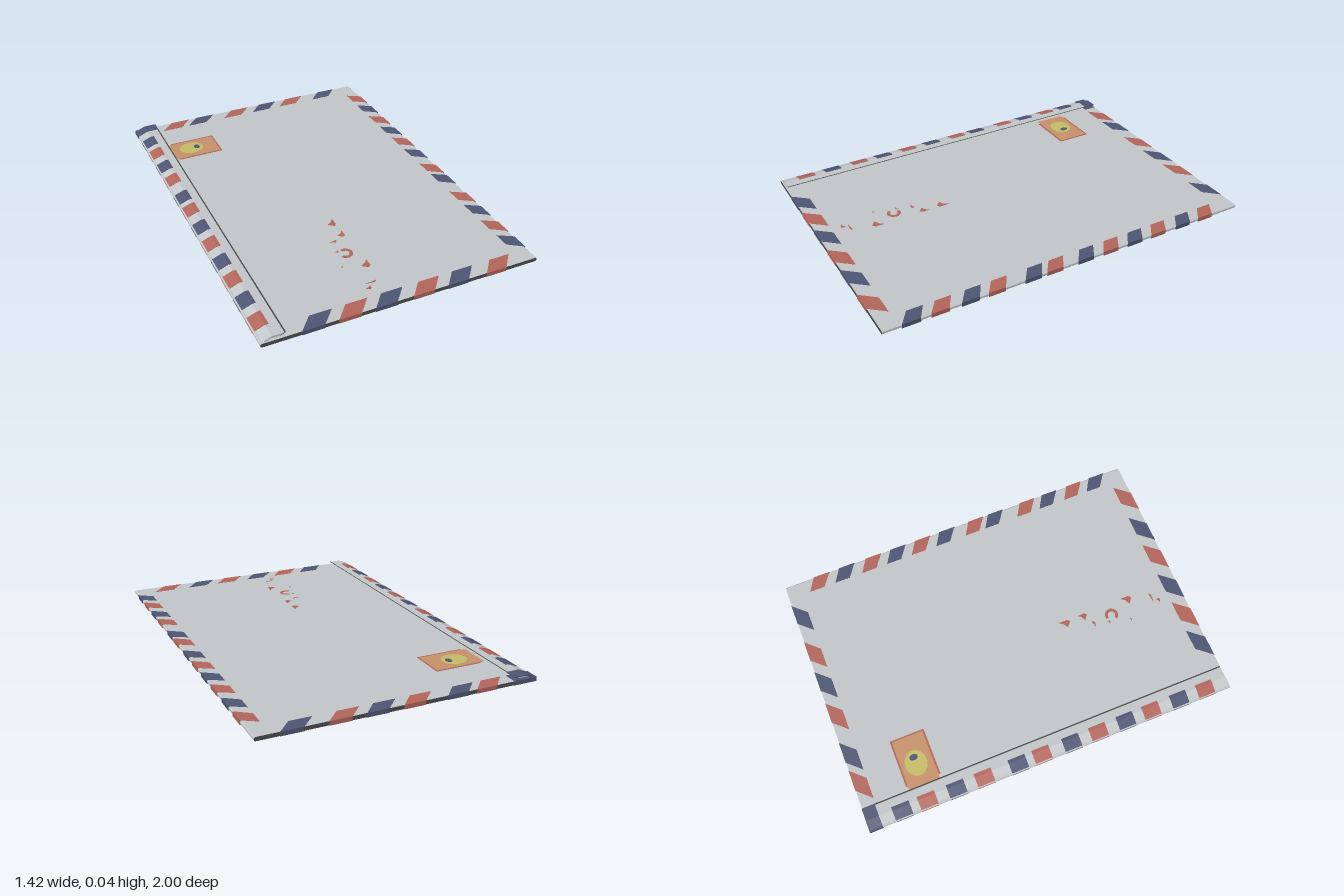
import * as THREE from 'three';

const mat = (name, color) => {
  const m = new THREE.MeshStandardMaterial({ color });
  m.name = name;
  return m;
};

export function createModel() {
  const paper = mat('paper', 0xc4c8ca);
  const edge = mat('darkEdge', 0x4c4d4c);
  const blue = mat('stripeBlue', 0x4f5674);
  const red = mat('stripeRed', 0xb4665c);
  const orange = mat('stampOrange', 0xc8926a);
  const yellow = mat('stampYellow', 0xc5be68);

  const model = new THREE.Group();
  model.name = 'envelope';
  const BOTTOM = 0.003, TOP = 0.023;

  const add = (name, geometry, material) => {
    const mesh = new THREE.Mesh(geometry, material);
    mesh.name = name;
    model.add(mesh);
    return mesh;
  };
  const polygon = (points) => new THREE.Shape(points.map(([a, b]) => new THREE.Vector2(a, b)));

  // Cross-section in x and y, swept along z
  const sweep = (name, points, z0, z1, material) => {
    const g = new THREE.ExtrudeGeometry(polygon(points), { depth: z1 - z0, bevelEnabled: false });
    add(name, g.translate(0, 0, z0), material);
  };
  // Outline in x and -z, pushed through the sheet so it shows on both faces
  const through = (name, shape, material, lift = 0.001) => {
    const depth = TOP - BOTTOM + 2 * lift;
    const g = new THREE.ExtrudeGeometry(shape, { depth, bevelEnabled: false, curveSegments: 16 });
    add(name, g.rotateX(-Math.PI / 2).translate(0, BOTTOM - lift, 0), material);
  };
  const plan = (points) => polygon(points.map(([x, z]) => [x, -z]));
  const rect = (x0, x1, z0, z1) => plan([[x0, z1], [x1, z1], [x1, z0], [x0, z0]]);
  const oval = (x, z, rx, rz) => new THREE.Shape().absellipse(x, -z, rx, rz, 0, Math.PI * 2);

  // Flat body with soft long sides and dark end faces
  const h = TOP - BOTTOM;
  sweep('body', [
    [-0.703, BOTTOM], [0.703, BOTTOM], [0.708, BOTTOM + h * 0.25], [0.708, BOTTOM + h * 0.75],
    [0.703, TOP], [-0.703, TOP], [-0.708, BOTTOM + h * 0.75], [-0.708, BOTTOM + h * 0.25],
  ], -0.998, 0.998, [edge, paper]);

  // Folded flap along the right side, with its dark lip
  sweep('flap', [
    [-0.708, 0.012], [-0.69, 0.012], [-0.66, 0.03], [-0.614, 0.03],
    [-0.59, 0.041], [-0.652, 0.041], [-0.7, 0.022],
  ], -0.99, 0.99, paper);
  sweep('flapLip', [[-0.614, 0.029], [-0.587, 0.041], [-0.592, 0.042], [-0.616, 0.031]],
    -0.99, 0.99, edge);

  // Stripes on the flap follow its fold
  const flapStripe = (z0, z1, x1, material) => sweep('flapStripe', [
    [-0.71, 0.01], [-0.7, 0.012], [-0.652, 0.038], [x1, 0.038],
    [x1, 0.0425], [-0.653, 0.0425], [-0.702, 0.0235],
  ], z0, z1, material);
  [-0.86, -0.725, -0.57, -0.42, -0.235, -0.105, 0.06, 0.21, 0.365, 0.51, 0.67, 0.82]
    .forEach((z, i) => flapStripe(z, z + 0.092, -0.635, i % 2 ? red : blue));
  flapStripe(-0.995, -0.93, -0.588, blue);
  through('cornerStripe', rect(-0.71, -0.585, -1, -0.93), blue);

  // Slanted stripes along the back and front ends
  const endStripe = (x, zFar, zNear, material) => through('endStripe', plan([
    [x, zNear], [x + 0.11, zNear], [x + 0.178, zFar], [x + 0.068, zFar],
  ]), material);
  [-0.555, -0.4, -0.175, 0.01, 0.19, 0.415]
    .forEach((x, i) => endStripe(x, -1, -0.927, i % 2 ? blue : red));
  [-0.517, -0.34, -0.16, 0.033, 0.215, 0.423]
    .forEach((x, i) => endStripe(x, 0.92, 1, i % 2 ? red : blue));

  // Slanted stripes along the left side
  [-0.88, -0.735, -0.58, -0.435, -0.29, -0.145, 0.03, 0.148, 0.342, 0.478, 0.63, 0.77]
    .forEach((z, i) => through('sideStripe', plan([
      [0.635, z + 0.082], [0.71, z + 0.135], [0.71, z + 0.045], [0.635, z],
    ]), i % 2 ? blue : red));

  // Stamp: border, field, oval and dot
  through('stampBorder', rect(-0.565, -0.315, -0.757, -0.572), red, 0.001);
  through('stampField', rect(-0.59, -0.323, -0.748, -0.582), orange, 0.0015);
  through('stampOval', oval(-0.468, -0.668, 0.067, 0.058), yellow, 0.0022);
  through('stampDot', oval(-0.436, -0.67, 0.016, 0.022), blue, 0.0029);

  // Worn ink flecks
  const fleck = (x, z, w, d) => through('inkFleck', plan([
    [x - w, z + d * 0.2], [x + w * 0.4, z + d], [x + w, z + d * 0.5], [x + w, z - d], [x + w * 0.3, z - d * 0.3],
  ]), red);
  [[-0.062, 0.335, 0.02, 0.032], [-0.06, 0.44, 0.018, 0.026], [-0.06, 0.7, 0.022, 0.03],
    [-0.12, 0.48, 0.018, 0.009], [-0.168, 0.675, 0.007, 0.005], [-0.125, 0.86, 0.014, 0.012],
    [-0.1, 0.83, 0.03, 0.006], [-0.14, 0.56, 0.01, 0.008]].forEach((f) => fleck(...f));
  const arc = new THREE.Shape();
  arc.absarc(-0.105, -0.588, 0.036, -2.6, 1.9, false);
  arc.absarc(-0.105, -0.588, 0.02, 1.9, -2.6, true);
  through('inkArc', arc, red);

  return model;
}
